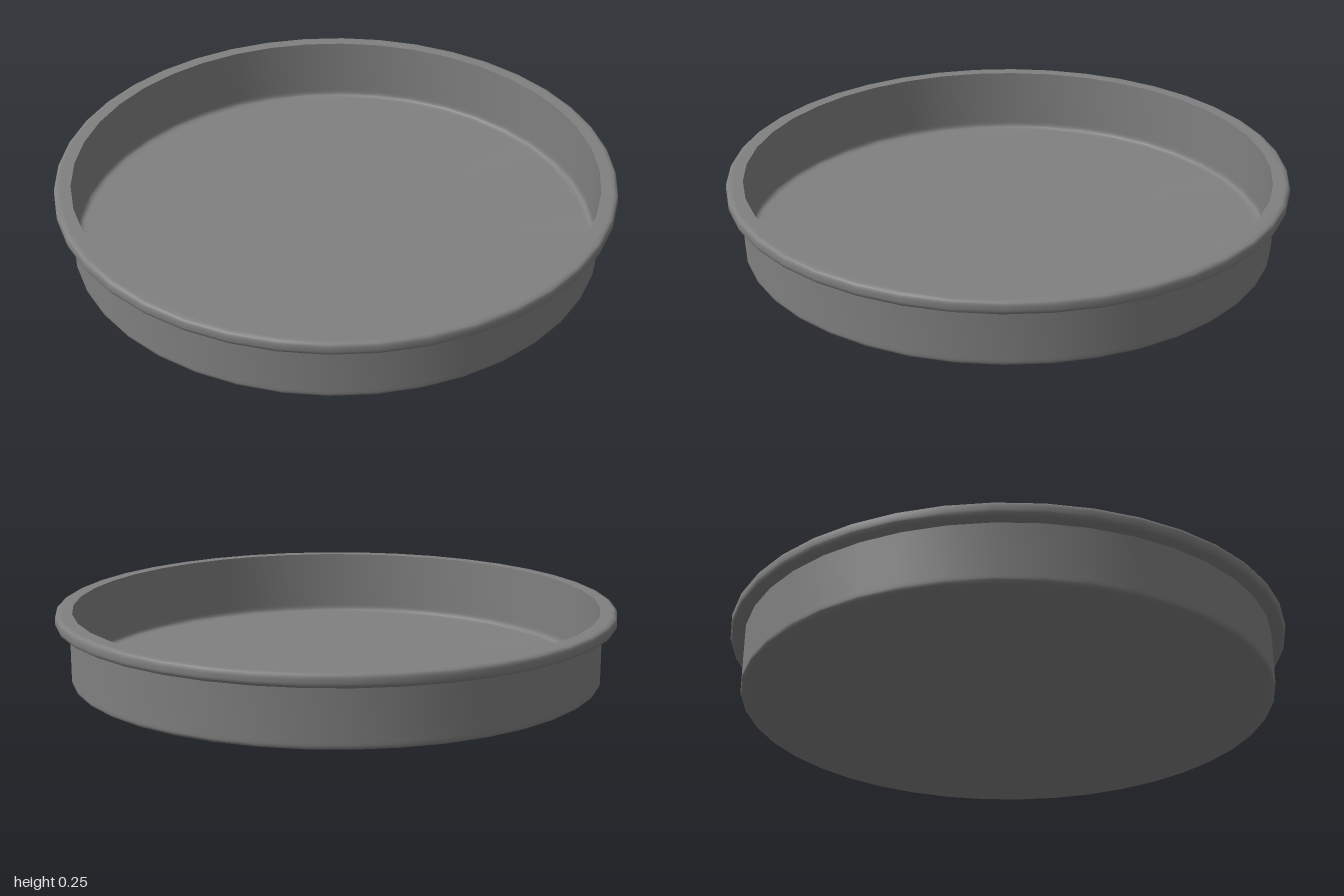
import * as THREE from 'three';
import { toCreasedNormals } from 'three/addons/utils/BufferGeometryUtils.js';

const SIDES = 40;

export function createModel() {
  const group = new THREE.Group();
  group.name = 'roundPan';
  const material = new THREE.MeshStandardMaterial({ color: 0x808080, side: THREE.DoubleSide });

  // Revolves a profile path and keeps its hard corners sharp
  function revolve(name, path) {
    const lathe = new THREE.LatheGeometry(path.getPoints(4), SIDES);
    const mesh = new THREE.Mesh(toCreasedNormals(lathe, 0.7), material);
    mesh.name = name;
    group.add(mesh);
  }

  // Underside and outer wall; extra rings beside the rounded foot keep the flats flat
  const outer = new THREE.Path();
  outer.moveTo(0, 0);
  outer.lineTo(0.925, 0);
  outer.lineTo(0.935, 0);
  outer.quadraticCurveTo(0.95, 0, 0.95, 0.015);
  outer.lineTo(0.95, 0.025);
  outer.lineTo(0.95, 0.207);
  revolve('outerWall', outer);

  // Rolled rim projecting outward, flat on top
  const rim = new THREE.Path();
  rim.moveTo(0.95, 0.207);
  rim.lineTo(0.982, 0.207);
  rim.quadraticCurveTo(1, 0.207, 1, 0.225);
  rim.lineTo(1, 0.237);
  rim.quadraticCurveTo(1, 0.255, 0.982, 0.255);
  rim.lineTo(0.975, 0.255);
  rim.lineTo(0.94, 0.255);
  revolve('rim', rim);

  // Inner wall curving into the flat floor
  const inner = new THREE.Path();
  inner.moveTo(0.94, 0.255);
  inner.lineTo(0.94, 0.042);
  inner.lineTo(0.94, 0.032);
  inner.quadraticCurveTo(0.94, 0.012, 0.92, 0.012);
  inner.lineTo(0.91, 0.012);
  inner.lineTo(0, 0.012);
  revolve('innerWallAndFloor', inner);

  return group;
}
